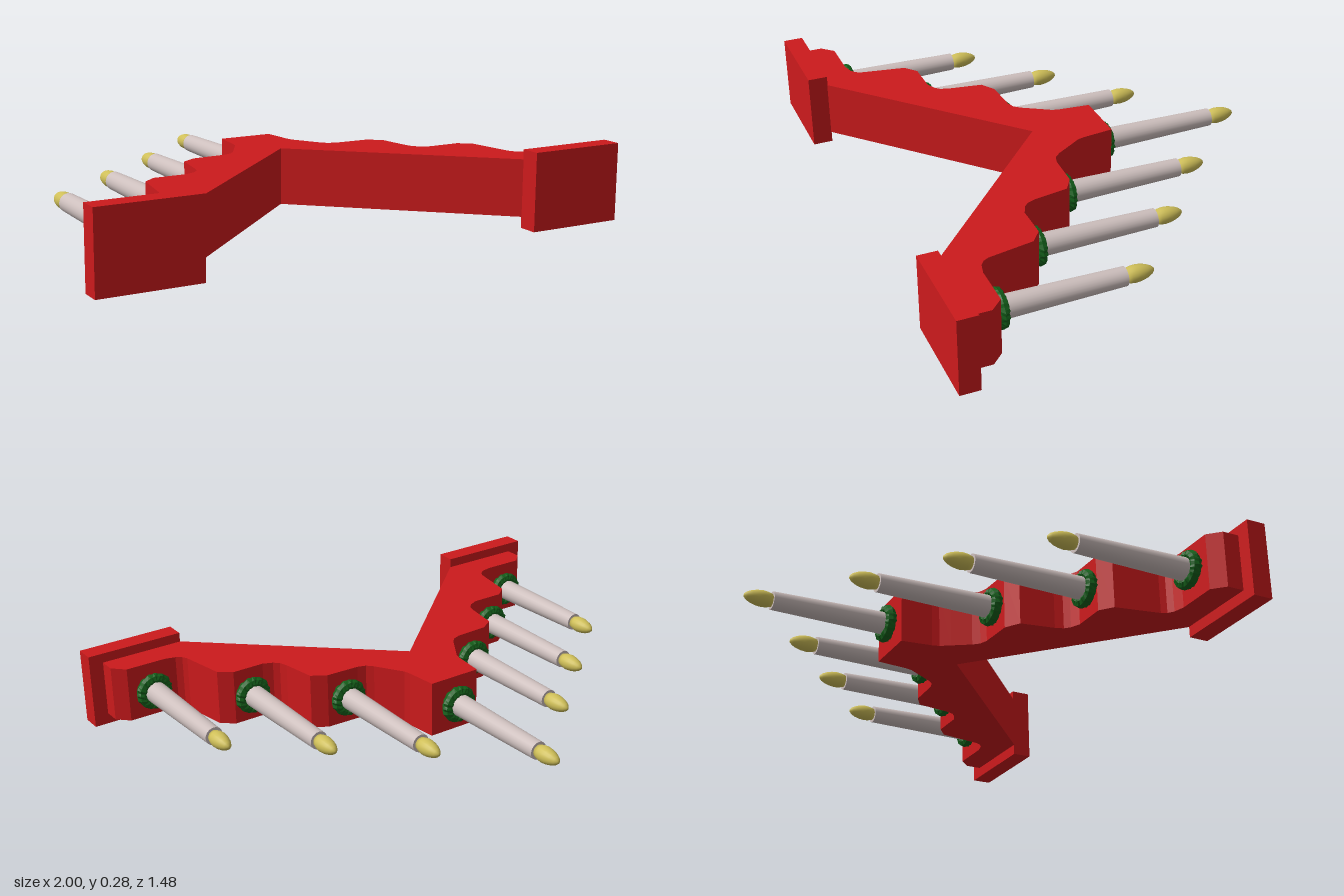
import * as THREE from 'three';

const red = new THREE.MeshStandardMaterial({ color: 0xcc1a1c, flatShading: true });
const wax = new THREE.MeshStandardMaterial({ color: 0xcdbfbd });
const bulb = new THREE.MeshStandardMaterial({ color: 0xcfbf58 });
const green = new THREE.MeshStandardMaterial({ color: 0x14601a, flatShading: true });

const MID_Y = 0.143;

function addMesh(parent, name, geometry, material) {
  const mesh = new THREE.Mesh(geometry, material);
  mesh.name = name;
  parent.add(mesh);
  return mesh;
}

// Stepped arch: half outline as [x, z], mirrored and extruded upwards
function archGeometry() {
  const half = [
    [0.1, -0.185], [0.112, -0.07], [0.118, -0.045], [0.14, -0.01], [0.18, 0.055], [0.2, 0.077], [0.23, 0.087],
    [0.355, 0.092], [0.407, 0.125], [0.427, 0.25], [0.437, 0.28], [0.455, 0.298], [0.49, 0.313],
    [0.61, 0.313], [0.656, 0.35], [0.685, 0.515], [0.695, 0.535], [0.715, 0.55], [0.755, 0.56],
    [0.905, 0.56], [0.947, 0.603], [0.947, 0.67], [0.64, 0.67],
  ];
  const outline = [
    ...half, [0, 0.083],
    ...half.map(([x, z]) => [-x, z]).reverse(),
  ].map(([x, z]) => new THREE.Vector2(x, -z));
  const geometry = new THREE.ExtrudeGeometry(new THREE.Shape(outline), { depth: 0.205, bevelEnabled: false });
  return geometry.rotateX(-Math.PI / 2).translate(0, 0.04, 0);
}

// Leafy ring: a torus roughened by a position-based ripple
function wreathGeometry() {
  const geometry = new THREE.TorusGeometry(0.049, 0.02, 8, 40);
  const p = geometry.attributes.position;
  const v = new THREE.Vector3();
  const core = new THREE.Vector3();
  for (let i = 0; i < p.count; i++) {
    v.fromBufferAttribute(p, i);
    core.set(v.x, v.y, 0).setLength(0.049);
    const ripple = 1 + 0.16 * Math.sin(v.x * 310 + v.z * 170) * Math.cos(v.y * 290 - v.z * 230);
    v.sub(core).multiplyScalar(ripple).add(core);
    p.setXYZ(i, v.x, v.y, v.z);
  }
  geometry.computeVertexNormals();
  return geometry;
}

// Lathe around the candle's axis, which points to -z
function lathe(points, segments) {
  const profile = points.map(([r, h]) => new THREE.Vector2(r, h));
  return new THREE.LatheGeometry(profile, segments).rotateX(-Math.PI / 2);
}

export function createModel() {
  const model = new THREE.Group();
  model.name = 'candleArch';

  addMesh(model, 'arch', archGeometry(), red);

  for (const side of [-1, 1]) {
    const foot = addMesh(model, side > 0 ? 'leftFoot' : 'rightFoot', new THREE.BoxGeometry(0.365, 0.28, 0.072), red);
    foot.position.set(side * 0.8175, 0.14, 0.7);
  }

  const wreath = wreathGeometry();
  const candle = new THREE.CylinderGeometry(0.033, 0.041, 0.45, 24).rotateX(-Math.PI / 2).translate(0, 0, -0.21);
  const flame = lathe([
    [0, 0], [0.023, 0], [0.028, 0.018], [0.03, 0.035], [0.028, 0.055],
    [0.023, 0.075], [0.015, 0.092], [0.007, 0.101], [0, 0.103],
  ], 20).translate(0, 0, -0.434);

  // One candle on the peak and three on each flank: [x, z of wreath]
  const steps = [[0, -0.205], [0.285, 0.072], [0.55, 0.295], [0.82, 0.535]];
  for (const [x, z] of steps) {
    for (const side of x ? [-1, 1] : [1]) {
      const light = new THREE.Group();
      light.name = 'candleLight';
      light.position.set(side * x - 0.005, MID_Y, z);
      addMesh(light, 'wreath', wreath, green);
      addMesh(light, 'candle', candle, wax);
      addMesh(light, 'flame', flame, bulb);
      model.add(light);
    }
  }
  return model;
}
